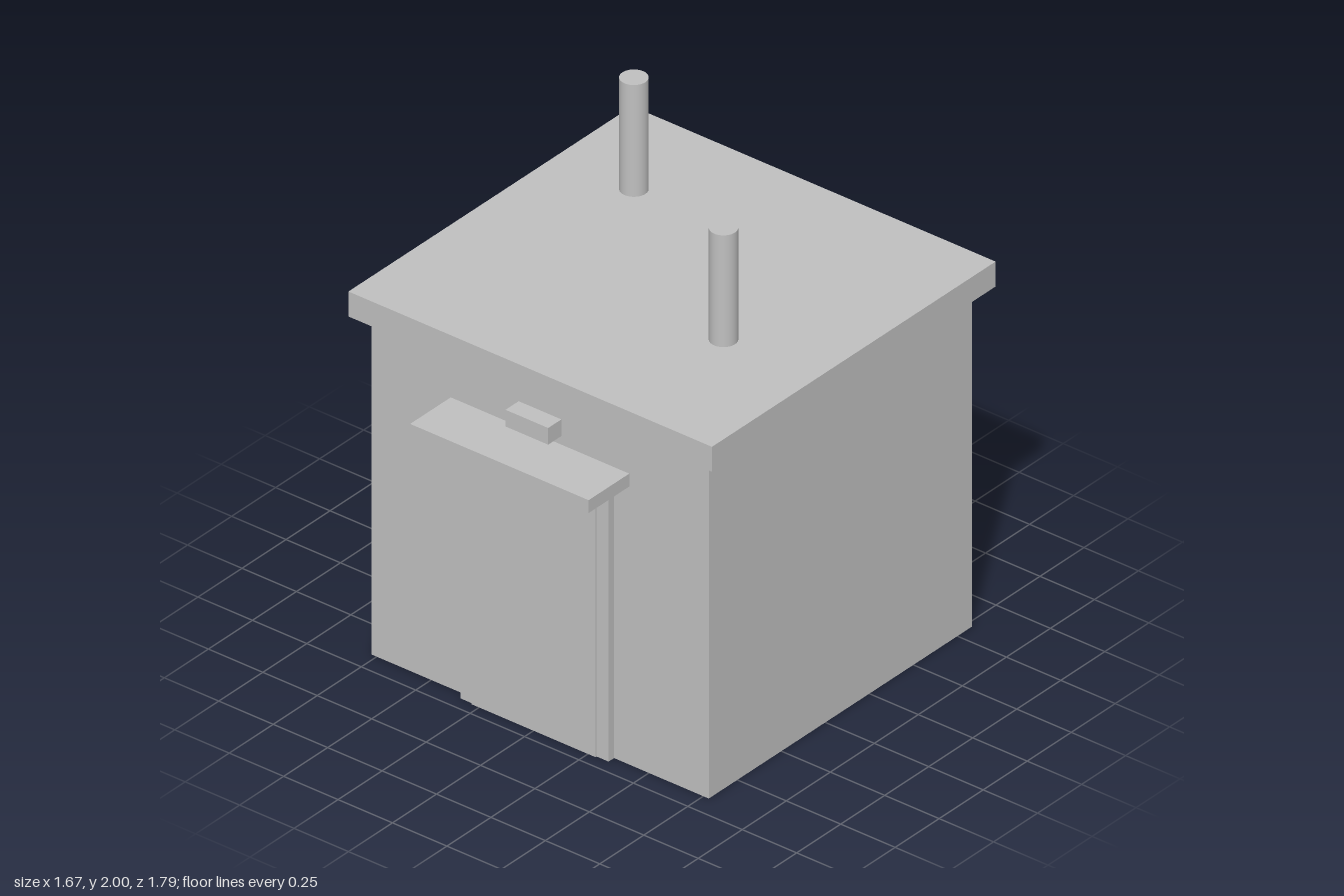
import * as THREE from 'three';

export function createModel() {
  const group = new THREE.Group();
  const grey = new THREE.MeshStandardMaterial({ color: 0xc0c0c0 });
  grey.name = 'light grey';

  // Box given by half width and its y and z ranges, centred on x
  const box = (name, halfX, y0, y1, z0, z1) => {
    const mesh = new THREE.Mesh(new THREE.BoxGeometry(halfX * 2, y1 - y0, z1 - z0), grey);
    mesh.name = name;
    mesh.position.set(0, (y0 + y1) / 2, (z0 + z1) / 2);
    group.add(mesh);
  };

  // Main block and overhanging flat roof
  box('walls', 0.775, 0, 1.425, -0.833, 0.662);
  box('roof', 0.835, 1.425, 1.53, -0.893, 0.718);

  // Entrance: frame, thin door leaf, canopy and lamp
  box('doorFrame', 0.34, 0, 1.148, 0.662, 0.693);
  box('doorLeaf', 0.285, 0, 1.08, 0.693, 0.699);
  box('canopy', 0.41, 1.17, 1.224, 0.662, 0.893);
  box('entranceLamp', 0.098, 1.26, 1.33, 0.662, 0.737);

  // Two round chimney pipes
  for (const [name, x, z] of [['backPipe', -0.478, -0.462], ['frontPipe', 0.41, 0.127]]) {
    const pipe = new THREE.Mesh(new THREE.CylinderGeometry(0.053, 0.053, 0.47, 32), grey);
    pipe.name = name;
    pipe.position.set(x, 1.765, z);
    group.add(pipe);
  }

  return group;
}
